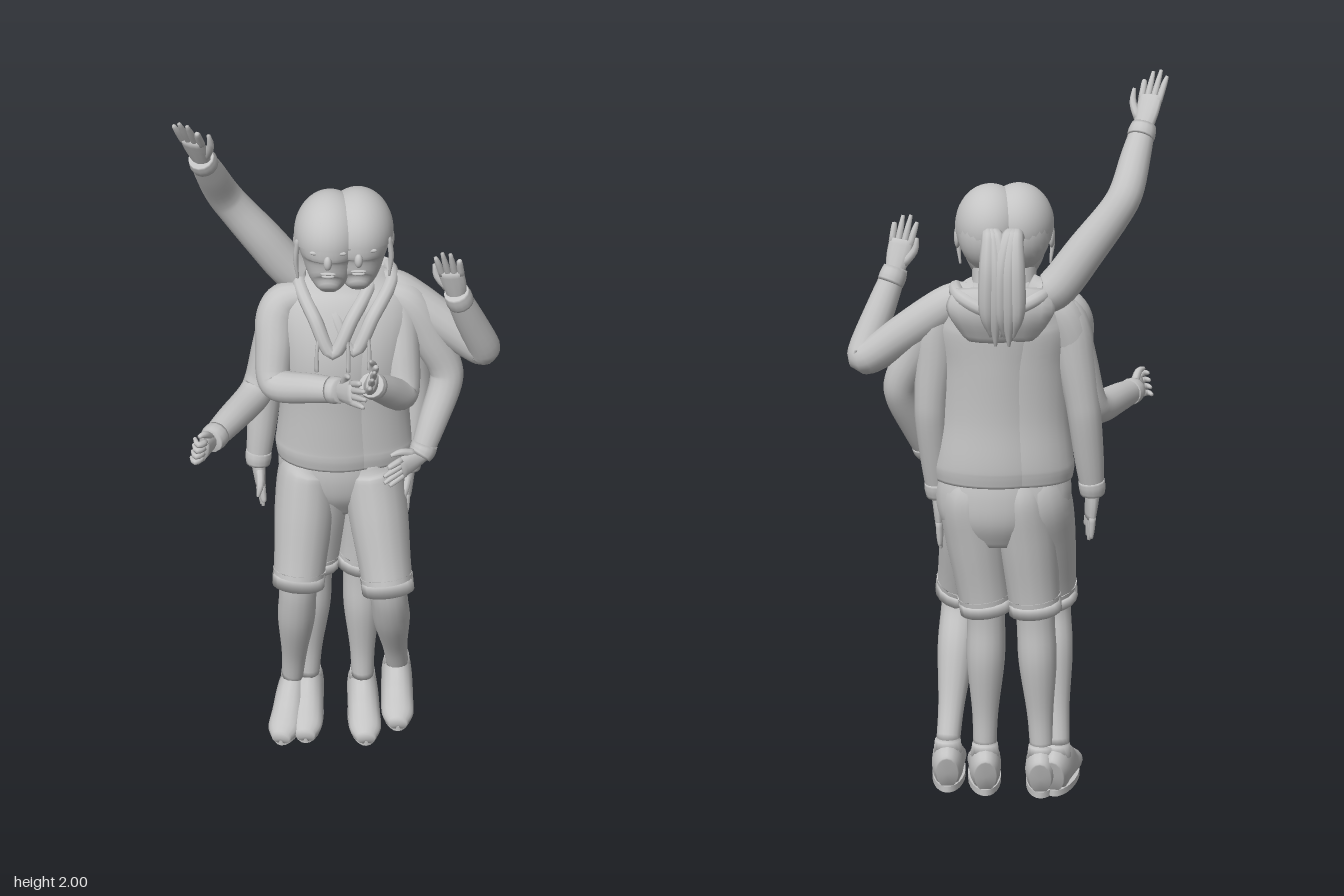
import * as THREE from 'three';

const grey = new THREE.MeshStandardMaterial({ color: 0xc4c4c4, side: THREE.DoubleSide });
grey.name = 'plain grey';
const V = (p) => new THREE.Vector3(...p);
const mix = (a, b, f) => V(a).lerp(V(b), f).toArray();

function add(parent, name, geometry) {
  const mesh = new THREE.Mesh(geometry, grey);
  mesh.name = name;
  parent.add(mesh);
  return mesh;
}

// Smooth skin through elliptical sections [x, y, z, radiusAlongRef, otherRadius]
function loft(sections, ref = [1, 0, 0], sides = 16, steps = 5) {
  const path = new THREE.CatmullRomCurve3(sections.map((s) => V(s.slice(0, 3))), false, 'catmullrom', 0.5);
  const size = new THREE.CatmullRomCurve3(sections.map((s) => new THREE.Vector3(s[3], s[4] ?? s[3], 0)), false, 'catmullrom', 0.5);
  const pos = [], idx = [], n = V(ref), count = (sections.length - 1) * steps;
  const rings = [];
  for (let i = 0; i <= count; i++) rings.push([i / count, 1]);
  rings.unshift([0, 0]);
  rings.push([1, 0]);
  rings.forEach(([u, k], i) => {
    const p = path.getPoint(u), r = size.getPoint(u), t = path.getTangent(u);
    n.addScaledVector(t, -n.dot(t)).normalize();
    const b = t.clone().cross(n);
    for (let j = 0; j < sides; j++) {
      const a = (j / sides) * Math.PI * 2;
      const q = p.clone().addScaledVector(n, Math.cos(a) * r.x * k).addScaledVector(b, Math.sin(a) * r.y * k);
      pos.push(q.x, q.y, q.z);
      if (i < rings.length - 1) {
        const c = i * sides + j, d = i * sides + ((j + 1) % sides);
        idx.push(c, d, c + sides, d, d + sides, c + sides);
      }
    }
  });
  const g = new THREE.BufferGeometry();
  g.setAttribute('position', new THREE.Float32BufferAttribute(pos, 3));
  g.setIndex(idx);
  g.computeVertexNormals();
  return g;
}

function ball(parent, name, p, r) {
  const m = add(parent, name, new THREE.SphereGeometry(1, 24, 16));
  m.position.set(...p);
  m.scale.set(...r);
}

// Palm, four fingers and a thumb from wrist to fingertip
function hand(parent, wrist, tip, across, thumbSide, curl) {
  const g = new THREE.Group();
  g.name = 'hand';
  parent.add(g);
  const w = V(wrist), d = V(tip).sub(w), dir = d.clone().normalize();
  const side = V(across).addScaledVector(dir, -V(across).dot(dir)).normalize();
  const normal = dir.clone().cross(side);
  const at = (f, s, c = 0) => w.clone().addScaledVector(d, f).addScaledVector(side, s).addScaledVector(normal, c).toArray();
  add(g, 'palm', loft([[...at(-0.1, 0), 0.024, 0.021], [...at(0.25, 0), 0.033, 0.017], [...at(0.55, 0), 0.034, 0.013]], side.toArray(), 12, 3));
  for (let k = 0; k < 4; k++) {
    const s = k - 1.5, reach = [0.9, 1, 0.97, 0.82][k];
    add(g, 'finger', loft([
      [...at(0.48, s * 0.017), 0.0095],
      [...at(0.75, s * 0.019, curl * 0.4), 0.0085],
      [...at(curl ? 0.55 : reach, s * 0.021, curl), 0.005]], side.toArray(), 8, 3));
  }
  add(g, 'thumb', loft([
    [...at(0.15, thumbSide * 0.02), 0.012],
    [...at(0.4, thumbSide * 0.043, 0.008), 0.01],
    [...at(0.62, thumbSide * 0.045, 0.018), 0.005]], side.toArray(), 8, 3));
}

function arm(parent, name, [shoulder, elbow, wrist, tip], across, thumbSide, curl = 0) {
  const g = new THREE.Group();
  g.name = name;
  parent.add(g);
  const [x, y, z] = shoulder;
  add(g, 'sleeve', loft([
    [x * 0.55, y + 0.035, z, 0.035], [x * 0.88, y + 0.012, z, 0.05], [...mix(shoulder, elbow, 0.15), 0.055],
    [...mix(shoulder, elbow, 0.5), 0.053], [...mix(shoulder, elbow, 0.87), 0.047],
    [...mix(elbow, wrist, 0.13), 0.045], [...mix(elbow, wrist, 0.6), 0.04], [...wrist, 0.032]], [0.1, 0.1, 1]));
  add(g, 'cuff', loft([[...mix(elbow, wrist, 0.86), 0.036], [...mix(elbow, wrist, 0.94), 0.037], [...mix(wrist, tip, 0.05), 0.033]], [0.1, 0.1, 1], 14, 3));
  hand(g, wrist, tip, across, thumbSide, curl);
}

function leg(parent, name, hip, knee, ankle, floor, toeTurn) {
  const g = new THREE.Group();
  g.name = name;
  parent.add(g);
  const [x, y, z] = hip;
  add(g, 'shortsLeg', loft([
    [x * 0.85, y + 0.07, z, 0.06, 0.085], [x, y, z, 0.081, 0.108], [...mix(hip, knee, 0.35), 0.084, 0.098],
    [...mix(hip, knee, 0.75), 0.075, 0.082], [...knee, 0.071, 0.075]]));
  add(g, 'shortsHem', loft([[...mix(hip, knee, 0.88), 0.075, 0.08], [...mix(hip, knee, 1.02), 0.074, 0.078]], undefined, 18, 2));
  add(g, 'shin', loft([
    [...mix(hip, knee, 0.9), 0.056], [...mix(knee, ankle, 0.12), 0.053], [...mix(knee, ankle, 0.38), 0.053, 0.056],
    [...mix(knee, ankle, 0.75), 0.037], [...ankle, 0.033, 0.036]]));
  // Shoe with a flattened underside, plus a thin sole
  const shoe = new THREE.Group();
  shoe.name = 'shoe';
  shoe.position.set(ankle[0], floor, ankle[2]);
  shoe.rotation.y = toeTurn;
  g.add(shoe);
  const upper = loft([
    [0, 0.06, -0.072, 0.03, 0.052], [0, 0.07, -0.04, 0.043, 0.068], [0, 0.068, 0.015, 0.046, 0.068],
    [0, 0.045, 0.075, 0.047, 0.048], [0, 0.03, 0.135, 0.046, 0.034], [0, 0.025, 0.178, 0.026, 0.02]]);
  const p = upper.attributes.position;
  for (let i = 0; i < p.count; i++) p.setY(i, Math.max(p.getY(i), 0.008));
  upper.computeVertexNormals();
  add(shoe, 'shoeUpper', upper);
  add(shoe, 'shoeCollar', loft([[0, 0.09, -0.018, 0.042, 0.05], [0, 0.14, -0.014, 0.036, 0.041]], undefined, 16, 2));
  const sole = add(shoe, 'sole', new THREE.CylinderGeometry(1, 1, 0.018, 24));
  sole.scale.set(0.047, 1, 0.122);
  sole.position.set(0, 0.009, 0.056);
}

// Head, ponytail, hooded top and hips of one figure
function body(parent, name, x, z, headX, headZ, turn) {
  const g = new THREE.Group();
  g.name = name;
  g.position.set(x, 0, z);
  parent.add(g);
  add(g, 'hoodedTop', loft([
    [0, 0.92, 0, 0.16, 0.11], [0, 0.955, 0, 0.165, 0.116], [0, 0.99, 0, 0.161, 0.116], [0, 1.1, 0.005, 0.15, 0.113],
    [0, 1.25, 0.005, 0.152, 0.116], [0, 1.36, -0.015, 0.163, 0.102], [0, 1.42, -0.035, 0.135, 0.08], [0, 1.47, -0.045, 0.075, 0.06]], undefined, 28));
  add(g, 'hips', loft([[0, 0.95, 0, 0.15, 0.1], [0, 0.88, -0.005, 0.158, 0.108], [0, 0.81, -0.012, 0.145, 0.1], [0, 0.74, -0.015, 0.1, 0.065]], undefined, 24));
  // Hood folded round the neck, meeting in a V
  const collar = [[0, 1.3, 0.108], [0.05, 1.39, 0.078], [0.096, 1.452, -0.02], [0.072, 1.445, -0.115], [0, 1.42, -0.14],
    [-0.072, 1.445, -0.115], [-0.096, 1.452, -0.02], [-0.05, 1.39, 0.078]].map(V);
  add(g, 'hoodFold', new THREE.TubeGeometry(new THREE.CatmullRomCurve3(collar, true), 60, 0.019, 10, true));
  add(g, 'hood', loft([[0, 1.46, -0.08, 0.1, 0.045], [0, 1.41, -0.1, 0.115, 0.05], [0, 1.33, -0.09, 0.07, 0.03]]));
  for (const s of [-1, 1]) {
    add(g, 'drawstring', loft([[s * 0.035, 1.36, 0.103, 0.005], [s * 0.042, 1.31, 0.115, 0.005], [s * 0.042, 1.25, 0.12, 0.006]], undefined, 6));
  }

  const head = new THREE.Group();
  head.name = 'head';
  head.position.set(headX - x, 0, headZ - z);
  head.rotation.y = turn;
  g.add(head);
  add(head, 'neck', loft([[0, 1.42, -0.03, 0.052], [0, 1.56, -0.01, 0.046]]));
  add(head, 'face', loft([
    [0, 1.476, 0.068, 0.022, 0.02], [0, 1.498, 0.044, 0.05, 0.058], [0, 1.55, 0.016, 0.073, 0.092],
    [0, 1.61, 0.01, 0.084, 0.104], [0, 1.67, 0, 0.078, 0.095]], undefined, 24));
  const hair = add(head, 'hair', new THREE.SphereGeometry(1, 32, 20, 0, Math.PI * 2, 0, Math.PI * 0.58).rotateX(-0.28));
  hair.scale.set(0.094, 0.11, 0.12);
  hair.position.set(0, 1.615, 0.002);
  ball(head, 'backOfHead', [0, 1.6, -0.03], [0.086, 0.1, 0.086]);
  ball(head, 'nose', [0, 1.58, 0.113], [0.011, 0.02, 0.012]);
  ball(head, 'upperLip', [0, 1.543, 0.103], [0.021, 0.004, 0.005]);
  ball(head, 'lowerLip', [0, 1.534, 0.1], [0.017, 0.005, 0.006]);
  for (const s of [-1, 1]) {
    ball(head, 'eye', [s * 0.033, 1.603, 0.1], [0.015, 0.006, 0.006]);
    ball(head, 'ear', [s * 0.088, 1.585, -0.005], [0.009, 0.03, 0.019]);
    add(head, 'sideLock', loft([[s * 0.08, 1.62, 0.06, 0.007], [s * 0.087, 1.56, 0.055, 0.007], [s * 0.082, 1.5, 0.05, 0.003]], undefined, 8));
  }
  // Ponytail strands, gathered at the crown and tapering to points
  const tail = -headX * 0.4, back = -headZ - 0.07;
  for (const s of [-1, 0, 1]) {
    add(head, 'ponytail', loft([
      [s * 0.006, 1.6, -0.1, 0.018], [tail * 0.5 + s * 0.01, 1.612, back - 0.14, 0.019], [tail + s * 0.02, 1.53, back - 0.17, 0.023],
      [tail + s * 0.022, 1.42, back - 0.17, 0.021], [tail + s * 0.012, 1.325 + Math.abs(s) * 0.025, back - 0.157, 0.004]], undefined, 10));
  }
}

export function createModel() {
  const model = new THREE.Group();
  model.name = 'overlappingFigures';
  body(model, 'frontFigure', -0.025, -0.07, -0.037, -0.062, 0);
  body(model, 'rearFigure', 0.03, -0.085, 0.036, -0.08, 0.06);

  // Right arms: raised, reaching forward, hanging, across the chest
  arm(model, 'raisedArm', [[-0.12, 1.43, -0.13], [-0.315, 1.69, -0.1], [-0.36, 1.86, 0.02], [-0.395, 2.0, 0.11]], [1, 0.1, 0.5], 1);
  arm(model, 'reachingArm', [[-0.16, 1.385, -0.1], [-0.235, 1.11, -0.07], [-0.345, 1.1, 0.17], [-0.372, 1.1, 0.265]], [0.2, 1, 0], 1, 0.03);
  arm(model, 'hangingRightArm', [[-0.17, 1.38, -0.09], [-0.215, 1.12, -0.1], [-0.24, 0.88, -0.07], [-0.228, 0.74, -0.055]], [0.3, 0, 1], 1);
  arm(model, 'clappingRightArm', [[-0.18, 1.385, -0.07], [-0.188, 1.185, 0.02], [0.0, 1.245, 0.135], [0.07, 1.31, 0.265]], [0, 1, -0.3], 1);

  // Left arms: clapping, waving, on the hip, hanging
  arm(model, 'clappingLeftArm', [[0.14, 1.385, -0.1], [0.165, 1.15, 0.0], [0.08, 1.26, 0.13], [0.09, 1.365, 0.255]], [0.3, 1, -0.6], 1);
  arm(model, 'wavingArm', [[0.15, 1.405, -0.12], [0.388, 1.235, -0.09], [0.3, 1.47, 0.0], [0.27, 1.615, 0.045]], [1, 0.2, 0.2], -1);
  arm(model, 'armOnHip', [[0.178, 1.385, -0.1], [0.287, 1.17, -0.09], [0.215, 0.96, 0.0], [0.115, 0.925, 0.08]], [0, 1, 0], 1);
  arm(model, 'hangingLeftArm', [[0.17, 1.38, -0.11], [0.195, 1.12, -0.12], [0.18, 0.87, -0.08], [0.175, 0.71, -0.065]], [0, 0, 1], 1);

  leg(model, 'steppingLeftLeg', [0.08, 0.87, -0.065], [0.13, 0.54, 0.055], [0.155, 0.15, -0.12], 0.026, 0.05);
  leg(model, 'steppingRightLeg', [-0.1, 0.87, -0.065], [-0.124, 0.54, 0.035], [-0.15, 0.13, -0.07], 0, -0.15);
  leg(model, 'standingLeftLeg', [0.095, 0.87, -0.085], [0.05, 0.54, -0.08], [0.055, 0.13, -0.08], 0, 0.1);
  leg(model, 'standingRightLeg', [-0.05, 0.87, -0.085], [-0.085, 0.54, -0.08], [-0.105, 0.13, -0.085], 0, 0);
  return model;
}
